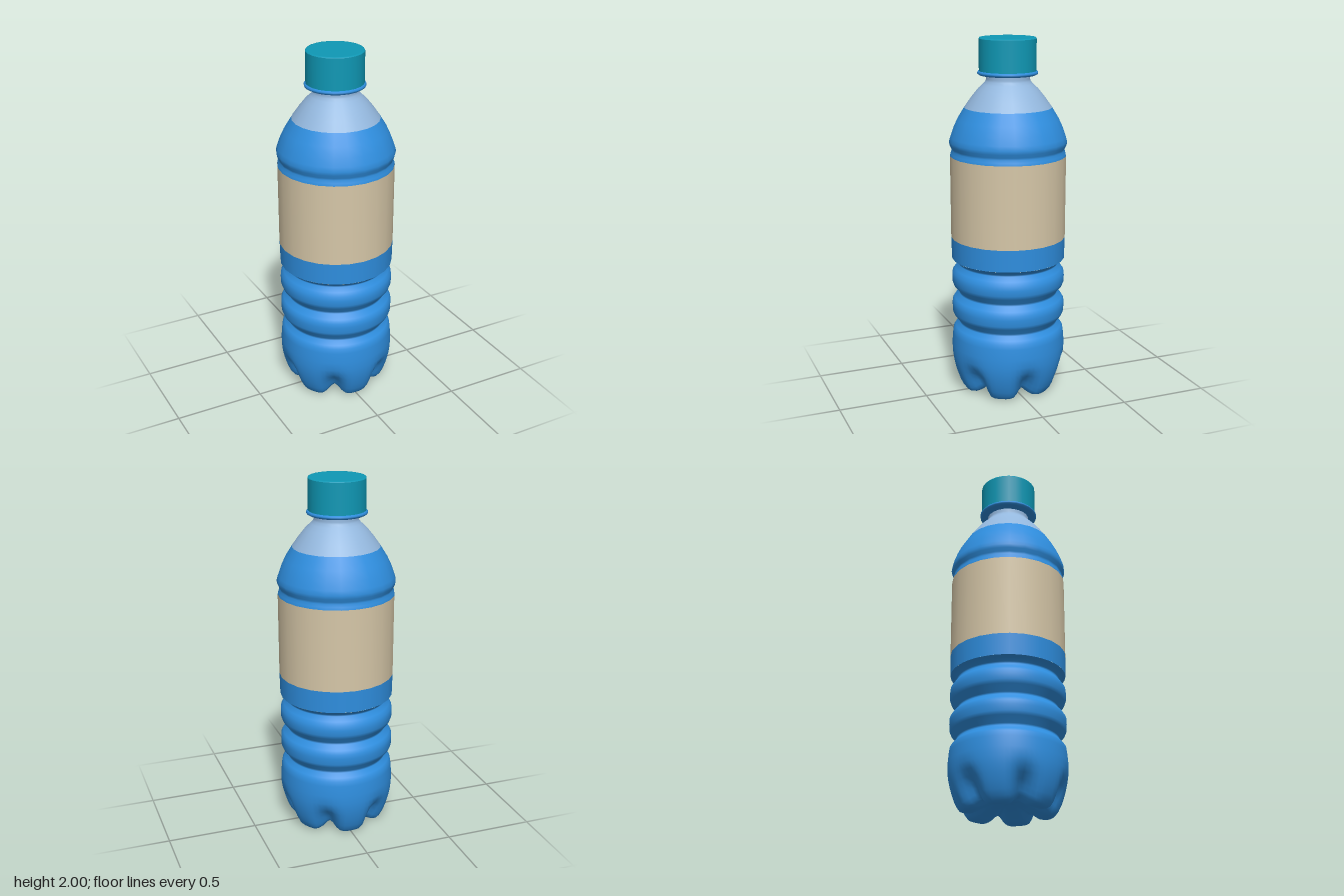
import * as THREE from 'three';
import { mergeVertices } from 'three/addons/utils/BufferGeometryUtils.js';

const material = (name, color) => {
  const m = new THREE.MeshStandardMaterial({ color });
  m.name = name;
  return m;
};

// Revolve a bottom-to-top list of [radius, y] pairs
const lathe = (points, sides = 24) =>
  new THREE.LatheGeometry(points.map(([r, y]) => new THREE.Vector2(r, y)), sides);

// Lower body: ribs above, six feet parted by notches below
function lowerBodyGeometry() {
  const profile = [
    [0, 0.07], [0.06, 0.065], [0.12, 0.045], [0.17, 0.015], [0.2, 0.003], [0.23, 0.003],
    [0.252, 0.01], [0.268, 0.03], [0.283, 0.06], [0.297, 0.1], [0.308, 0.14], [0.316, 0.18],
    [0.32, 0.22], [0.321, 0.27], [0.316, 0.33], [0.312, 0.358], [0.3, 0.375],
    [0.279, 0.398], [0.279, 0.41], [0.308, 0.445], [0.316, 0.465], [0.317, 0.5],
    [0.316, 0.525], [0.304, 0.545], [0.278, 0.571], [0.278, 0.583], [0.308, 0.618],
    [0.316, 0.64], [0.317, 0.67], [0.314, 0.697], [0.3, 0.717], [0.28, 0.742],
    [0.283, 0.752], [0.3, 0.768], [0.316, 0.778],
  ];
  let g = lathe(profile, 72);
  g.deleteAttribute('uv');
  g.deleteAttribute('normal');
  const p = g.attributes.position;
  for (let i = 0; i < p.count; i++) {
    const x = p.getX(i), y = p.getY(i), z = p.getZ(i);
    const notch = Math.cos(3 * Math.atan2(z, x)) ** 6;
    const pinch = 1 - 0.2 * notch * (1 - THREE.MathUtils.smoothstep(y, 0.04, 0.24));
    const reach = THREE.MathUtils.smoothstep(Math.hypot(x, z), 0.05, 0.2);
    const lift = 0.045 * notch * reach * (1 - THREE.MathUtils.smoothstep(y, 0.02, 0.2));
    p.setXYZ(i, x * pinch, y + lift, z * pinch);
  }
  g = mergeVertices(g, 1e-5);
  g.computeVertexNormals();
  return g;
}

export function createModel() {
  const bottle = new THREE.Group();
  bottle.name = 'bottle';
  const blue = material('bottleBlue', 0x2f8fe0);
  const pale = material('paleBlue', 0x94b8de);
  const beige = material('labelBeige', 0xd6c7a8);
  const teal = material('capTeal', 0x0f98b5);

  const add = (name, geometry, mat, x = 0) => {
    const mesh = new THREE.Mesh(geometry, mat);
    mesh.name = name;
    mesh.position.x = x;
    bottle.add(mesh);
  };

  // Body
  add('lowerBody', lowerBodyGeometry(), blue);
  add('waistBand', lathe([[0.317, 0.778], [0.32, 0.9]]), blue);
  add('label', lathe([[0.32, 0.9], [0.321, 1.36]]), beige);
  add('shoulder', lathe([
    [0.321, 1.36], [0.318, 1.375], [0.311, 1.39], [0.313, 1.402], [0.322, 1.42],
    [0.326, 1.44], [0.319, 1.465], [0.303, 1.51], [0.28, 1.56], [0.24, 1.625],
  ]), blue);
  add('neck', lathe([
    [0.24, 1.625], [0.205, 1.675], [0.165, 1.725], [0.135, 1.752], [0.123, 1.768],
    [0.12, 1.78], [0.12, 1.81],
  ]), pale);

  // Collar ring and cap, each closed below
  add('collarRing', lathe([
    [0.11, 1.797], [0.155, 1.8], [0.165, 1.806], [0.166, 1.815], [0.16, 1.822], [0.15, 1.823],
  ]), blue, -0.005);
  add('capSide', lathe([[0.157, 1.815], [0.157, 1.995]]), teal, -0.005);
  add('capTop', lathe([[0.157, 1.995], [0.153, 2], [0.145, 2], [0, 2]]), teal, -0.005);

  return bottle;
}
